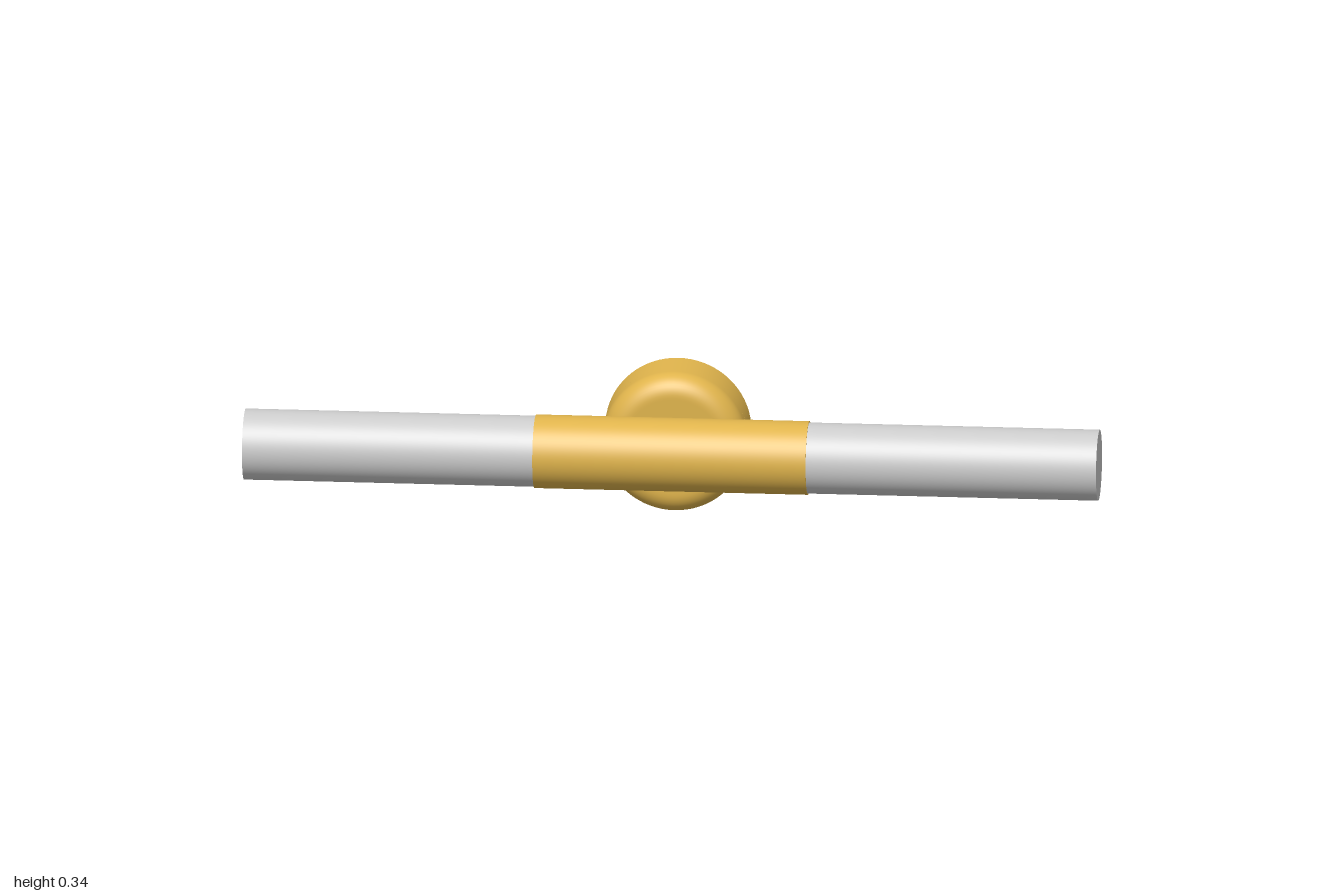
import * as THREE from 'three';

const gold = new THREE.MeshStandardMaterial({ color: 0xe0b44c, side: THREE.DoubleSide });
const grey = new THREE.MeshStandardMaterial({ color: 0xcccccc });

function add(parent, name, geometry, material = gold) {
  const mesh = new THREE.Mesh(geometry, material);
  mesh.name = name;
  parent.add(mesh);
  return mesh;
}

// Square patch of a curved wall with a round hole bored through it.
// place(u, v, depth) puts a flat point onto the wall.
function boredPatch(half, rOuter, rInner, depth, place) {
  const N = 48, pos = [], index = [];
  const loop = (blend, r, d) => {
    for (let j = 0; j < N; j++) {
      const a = (j / N) * Math.PI * 2, c = Math.cos(a), s = Math.sin(a);
      const square = half / Math.max(Math.abs(c), Math.abs(s));
      const k = square + (r - square) * blend;
      pos.push(...place(c * k, s * k, d));
    }
  };
  const strip = (rows) => {
    const start = pos.length / 3;
    rows.forEach((row) => loop(...row));
    for (let i = 0; i < rows.length - 1; i++) for (let j = 0; j < N; j++) {
      const a = start + i * N + j, b = start + i * N + (j + 1) % N;
      index.push(a, b, b + N, a, b + N, a + N);
    }
  };
  strip([0, 0.25, 0.5, 0.75, 1].map((b) => [b, rOuter, 0]));
  strip([[1, rOuter, 0], [1, rInner, depth]]);
  strip([1, 0.75, 0.5, 0.25, 0].map((b) => [b, rInner, depth]));
  const g = new THREE.BufferGeometry();
  g.setAttribute('position', new THREE.Float32BufferAttribute(pos, 3));
  g.setIndex(index);
  g.computeVertexNormals();
  return g;
}

// Tube section along x
function tube(r, x0, x1, start = 0, length = Math.PI * 2, open = true) {
  return new THREE.CylinderGeometry(r, r, x1 - x0, 72, 1, open, start, length)
    .rotateZ(Math.PI / 2).translate((x0 + x1) / 2, 0, 0);
}

// Turned surface; profile points are [radius, distance behind the front]
function turned(profile, start = 0, length = Math.PI * 2) {
  return new THREE.LatheGeometry(profile.map(([r, t]) => new THREE.Vector2(r, t)), 72, start, length)
    .rotateX(-Math.PI / 2);
}

function fillet(cx, ct, r, from, to) {
  return Array.from({ length: 13 }, (_, i) => {
    const a = from + (to - from) * i / 12;
    return [cx + r * Math.cos(a), ct + r * Math.sin(a)];
  });
}

function makeBar() {
  const bar = new THREE.Group();
  bar.name = 'bar';
  const R = 0.086, cell = 0.045, gap = cell / R;

  // Two lamp tubes and the sleeve between them
  for (const [name, s] of [['leftTube', 1], ['rightTube', -1]]) {
    const x0 = s > 0 ? 0.3 : -1;
    add(bar, name, tube(0.083, x0, x0 + 0.7, 0, Math.PI * 2, false), grey);
    add(bar, 'sleeveEnd', tube(R, s > 0 ? 0.135 : -0.32, s > 0 ? 0.32 : -0.135));
    add(bar, 'sleeveLip', new THREE.RingGeometry(0.082, R, 72).rotateY(s * Math.PI / 2).translate(s * 0.32, 0, 0));
  }
  add(bar, 'sleeveMiddle', tube(R, -0.135, 0.135, -Math.PI + gap, 2 * Math.PI - 2 * gap));

  // Cable hole between two screw holes, facing back into the cup
  for (const [x, r] of [[-0.09, 0.016], [0, 0.027], [0.09, 0.016]]) {
    add(bar, 'sleeveHole', boredPatch(cell, r, r, 0.018, (u, v, d) => {
      const a = v / R;
      return [x - u, (R - d) * Math.sin(a), -(R - d) * Math.cos(a)];
    }));
  }
  bar.position.set(0, 0.169, 0.063);
  return bar;
}

function makeCup() {
  const cup = new THREE.Group();
  cup.name = 'wallCup';
  const wall = 0.016, depth = 0.147, t0 = 0.07, t1 = 0.13, tc = 0.1;
  const R = (t) => 0.169 + 0.002 * (t - 0.05) / (depth - 0.05);
  const inner = (t) => R(t) - wall;
  const h = 0.03 / 0.17;

  // Rounded outer shell, rim and hollow inside
  add(cup, 'cupShell', turned([[0.114, 0], ...fillet(0.119, 0.05, 0.05, -Math.PI / 2, 0), [R(t0), t0]]));
  add(cup, 'cupRimOutside', turned([[R(t1), t1], [R(depth), depth]]));
  add(cup, 'cupRim', turned([[R(depth), depth], [inner(depth), depth]]));
  add(cup, 'cupRimInside', turned([[inner(depth), depth], [inner(t1), t1]]));
  add(cup, 'cupInside', turned([[inner(t0), t0], ...fillet(0.118, 0.05, 0.035, 0, -Math.PI / 2), [0.114, 0.015]]));

  // Side band, broken by a countersunk screw hole on each side
  for (const s of [1, -1]) {
    const start = s * Math.PI / 2 + h, length = Math.PI - 2 * h;
    add(cup, 'cupBandOutside', turned([[R(t0), t0], [R(t1), t1]], start, length));
    add(cup, 'cupBandInside', turned([[inner(t1), t1], [inner(t0), t0]], start, length));
    add(cup, 'sideScrewHole', boredPatch(0.03, 0.016, 0.01, wall, (u, v, d) => {
      const a = v / 0.17, r = s * (R(tc + u) - d);
      return [r * Math.cos(a), r * Math.sin(a), -tc - u];
    }));
  }

  // Floor with a slot where the sleeve comes through
  const floor = new THREE.Shape().absarc(0, 0, 0.116, 0, Math.PI * 2);
  const w = 0.105, k = 0.03;
  floor.holes.push(new THREE.Path([[-w, -k], [-w, k], [w, k], [w, -k]].map(([x, y]) => new THREE.Vector2(x, y))));
  add(cup, 'cupFloor', new THREE.ExtrudeGeometry(floor, { depth: 0.015, bevelEnabled: false, curveSegments: 72 })
    .translate(0, 0, -0.015));

  cup.rotation.x = 0.0175;
  cup.position.set(-0.003, 0.169, 0);
  return cup;
}

export function createModel() {
  const model = new THREE.Group();
  model.name = 'wallLamp';
  model.add(makeBar(), makeCup());
  return model;
}
